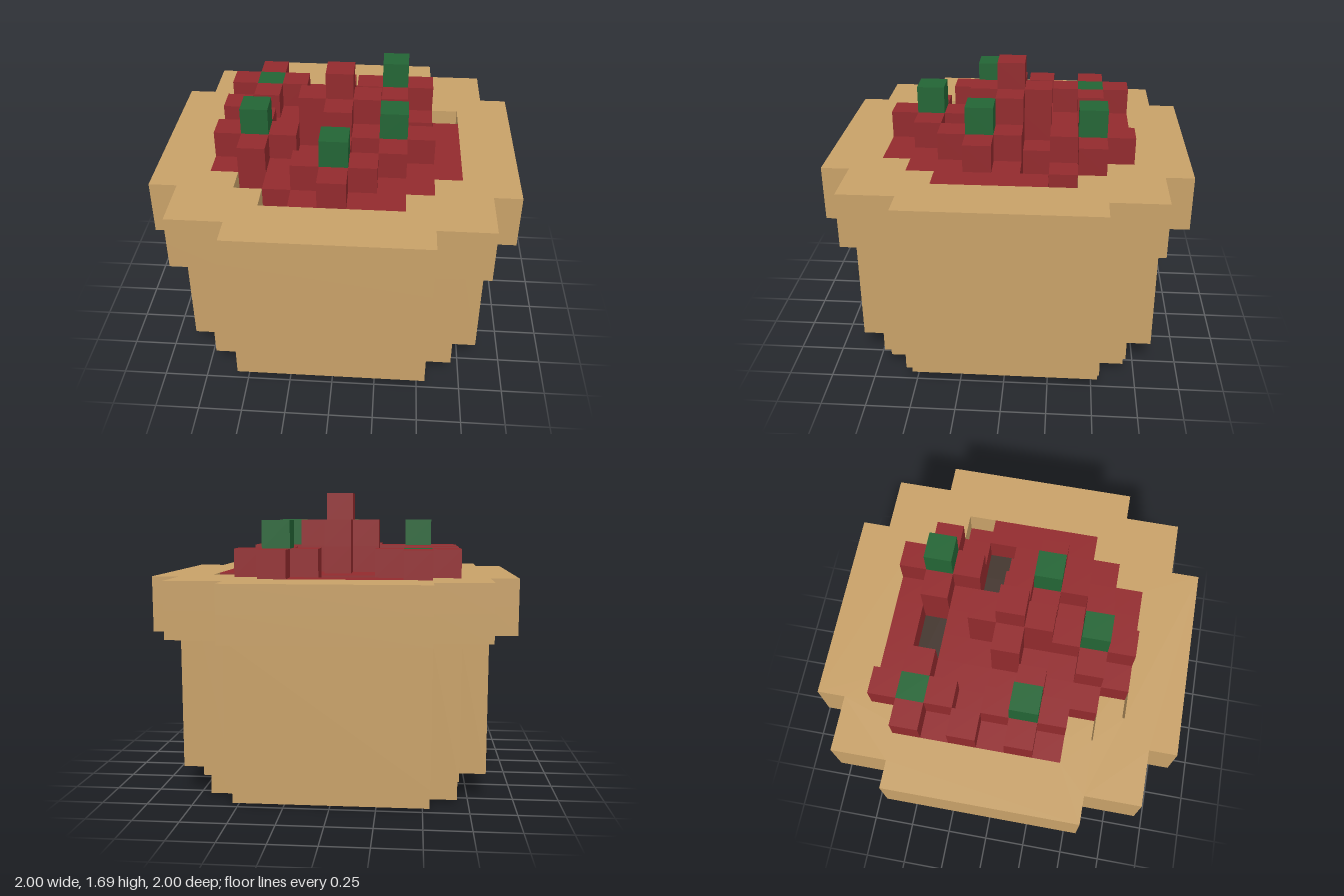
import * as THREE from 'three';

const U = 2 / 13; // edge of one cube cell

const mat = (name, color, side = THREE.FrontSide) => {
  const m = new THREE.MeshStandardMaterial({ color, side });
  m.name = name;
  return m;
};

// Stepped outline: one corner's points, turned four times
function ring(corner) {
  const pts = [];
  for (let q = 0, c = corner; q < 4; q++, c = c.map(([a, b]) => [-b, a]))
    pts.push(...c.map(([a, b]) => new THREE.Vector2(a * U, b * U)));
  return pts;
}

// Upright prism between two cell levels, with an optional stepped hole
function prism(name, material, outline, hole, y0, y1) {
  const shape = new THREE.Shape(ring(outline));
  if (hole) shape.holes.push(new THREE.Path(ring(hole)));
  const geo = new THREE.ExtrudeGeometry(shape, { depth: (y1 - y0) * U, bevelEnabled: false });
  geo.rotateX(-Math.PI / 2).translate(0, y0 * U, 0);
  const mesh = new THREE.Mesh(geo, material);
  mesh.name = name;
  return mesh;
}

const key = (x, y, z) => `${x},${y},${z}`;

// Cube cells as one mesh, without the faces shared with other cells
function cells(name, material, list, occupied) {
  const pos = [], nor = [];
  for (const [x, y, z] of list) {
    for (let axis = 0; axis < 3; axis++) for (const s of [-1, 1]) {
      const n = [0, 0, 0], a = [0, 0, 0], b = [0, 0, 0];
      n[axis] = s;
      a[(axis + 1) % 3] = 0.5;
      b[(axis + 2) % 3] = 0.5 * s;
      if (occupied.has(key(x + n[0], y + n[1], z + n[2]))) continue;
      const c = [x, y + 0.5, z];
      for (const [i, j] of [[-1, -1], [1, -1], [1, 1], [-1, -1], [1, 1], [-1, 1]]) {
        for (let k = 0; k < 3; k++) pos.push((c[k] + n[k] / 2 + a[k] * i + b[k] * j) * U);
        nor.push(...n);
      }
    }
  }
  const geo = new THREE.BufferGeometry();
  geo.setAttribute('position', new THREE.Float32BufferAttribute(pos, 3));
  geo.setAttribute('normal', new THREE.Float32BufferAttribute(nor, 3));
  const mesh = new THREE.Mesh(geo, material);
  mesh.name = name;
  return mesh;
}

export function createModel() {
  const group = new THREE.Group();
  group.name = 'pottedPlant';
  const clay = mat('clay', 0xc8a168);
  const soil = mat('soil', 0x42342c);
  const red = mat('red petals', 0x922a2d);
  const green = mat('green buds', 0x236535);

  // Pot
  const hole = [[3.5, 2.5], [2.5, 2.5], [2.5, 3.5]];
  const opening = [[4.5, 2.5], [3.5, 2.5], [3.5, 3.5], [2.5, 3.5], [2.5, 4.5]];
  const base = [[4.5, 3.5], [3.5, 3.5], [3.5, 4.5]];
  const body = [[5.5, 3.5], [4.5, 3.5], [4.5, 4.5], [3.5, 4.5], [3.5, 5.5]];
  const rim = [[6.5, 3.5], [5.5, 3.5], [5.5, 5.5], [3.5, 5.5], [3.5, 6.5]];
  group.add(
    prism('potBase', clay, base, hole, 0, 1),
    prism('potBody', clay, body, hole, 1, 6),
    prism('rimLower', clay, rim, hole, 6, 7),
    prism('rimUpper', clay, rim, opening, 7, 8),
    prism('soil', soil, hole, null, 1, 7),
  );

  // Petal carpet level with the rim, with a few gaps
  const petals = new Map();
  const addPetal = (x, y, z) => petals.set(key(x, y, z), [x, y, z]);
  const gaps = new Set(['-3,3', '-2,4', '-1,-3', '0,-3', '2,-1', '3,-1', '4,-2']);
  for (let z = -4; z <= 4; z++) {
    const w = [4, 4, 4, 3, 2][Math.abs(z)];
    for (let x = -w; x <= w; x++) if (!gaps.has(`${x},${z}`)) addPetal(x, 7, z);
  }

  // Flowers: a cross of petals around each bud
  const cross = (x, y, z) => {
    for (const [i, j] of [[1, 0], [-1, 0], [0, 1], [0, -1]])
      if (!gaps.has(`${x + i},${z + j}`)) addPetal(x + i, y, z + j);
  };
  const buds = [[-3, 8, -3], [2, 9, -3], [-3, 9, 1], [2, 9, 1], [0, 9, 3]];
  for (const [x, y, z] of buds) {
    cross(x, 8, z);
    if (y > 8) addPetal(x, 8, z);
  }
  addPetal(-4, 8, -1);

  // Tall middle flower
  for (const y of [8, 9]) cross(0, y, 0);
  for (const y of [8, 9, 10]) addPetal(0, y, 0);

  const occupied = new Set([...petals.keys(), ...buds.map((b) => key(...b))]);
  group.add(
    cells('petals', red, [...petals.values()], occupied),
    cells('buds', green, buds, occupied),
  );

  // Sunken petal in the gap at the side
  const sunken = new THREE.Mesh(new THREE.BoxGeometry(U, 0.008, U), red);
  sunken.name = 'sunkenPetal';
  sunken.position.set(4 * U, 7 * U + 0.004, -2 * U);
  group.add(sunken);

  return group;
}
